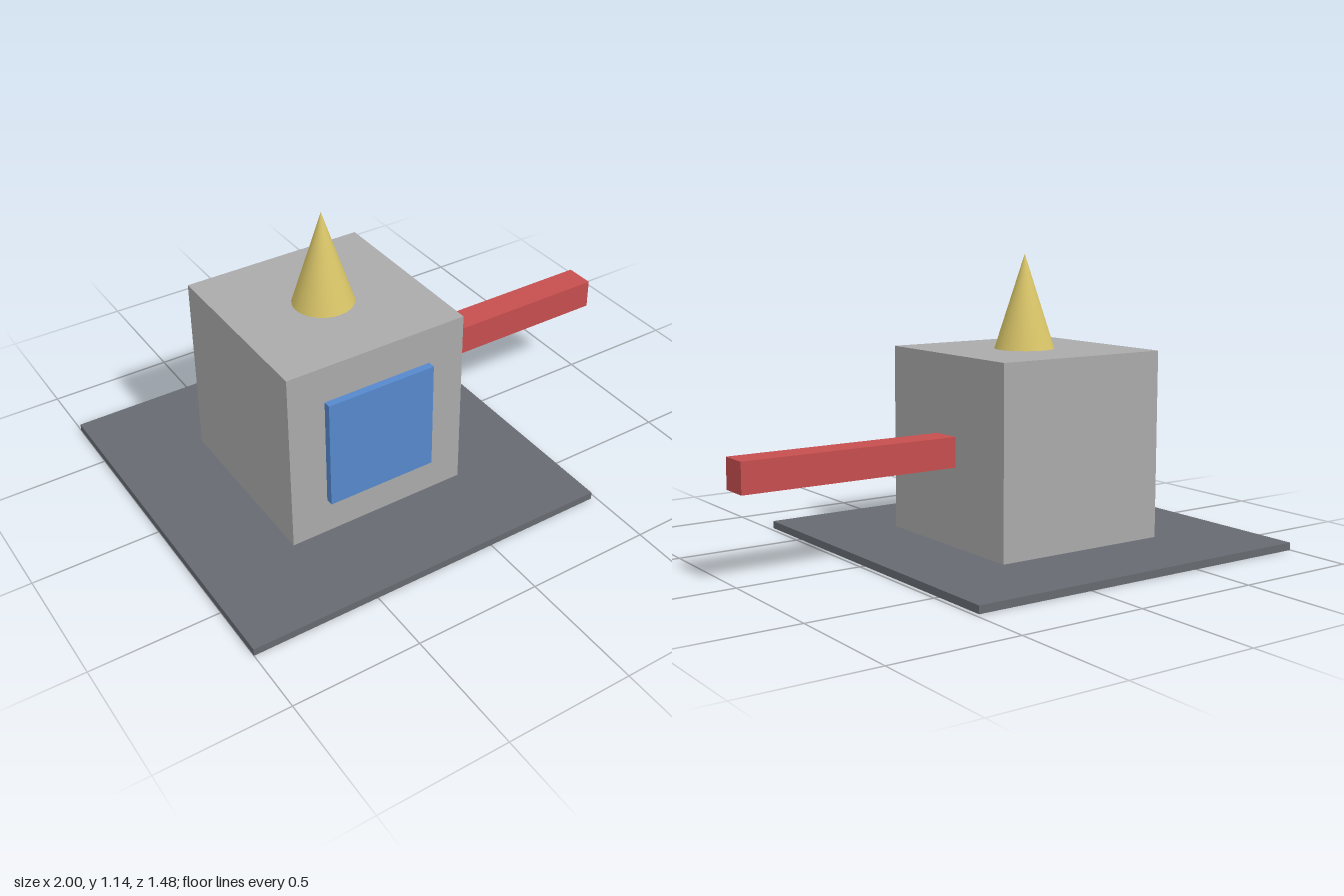
import * as THREE from 'three';

// One model unit: the whole is 13.5 units long
const U = 2 / 13.5;
// The base, body and spike share this axis
const CX = -1 + 5 * U;

function material(name, color) {
  const m = new THREE.MeshStandardMaterial({ color });
  m.name = name;
  return m;
}

export function createModel() {
  const group = new THREE.Group();
  group.name = 'model';

  const darkGrey = material('dark grey', 0x666a70);
  const lightGrey = material('light grey', 0xaaaaaa);
  const blue = material('blue', 0x5588cc);
  const red = material('red', 0xc64e4e);
  const gold = material('gold', 0xd8c468);

  // Sizes and centres in units, measured from the shared axis at ground level
  const add = (name, geometry, mat, x, y, z) => {
    const mesh = new THREE.Mesh(geometry, mat);
    mesh.name = name;
    mesh.position.set(CX + x * U, y * U, z * U);
    group.add(mesh);
  };
  const box = (w, h, d) => new THREE.BoxGeometry(w * U, h * U, d * U);

  // Flat base slab and cubic body
  add('base', box(10, 0.2, 10), darkGrey, 0, 0.1, 0);
  add('body', box(5, 5, 5), lightGrey, 0, 2.7, 0);

  // Raised panel on the front of the body
  add('frontPanel', box(3, 3, 0.2), blue, 0, 2.7, 2.6);

  // Square arm reaching out from the model's left
  add('arm', box(6, 0.8, 0.8), red, 5.5, 2.7, 0);

  // Spike on top
  add('spike', new THREE.ConeGeometry(0.8 * U, 2.5 * U, 32), gold, 0, 6.45, 0);

  return group;
}
